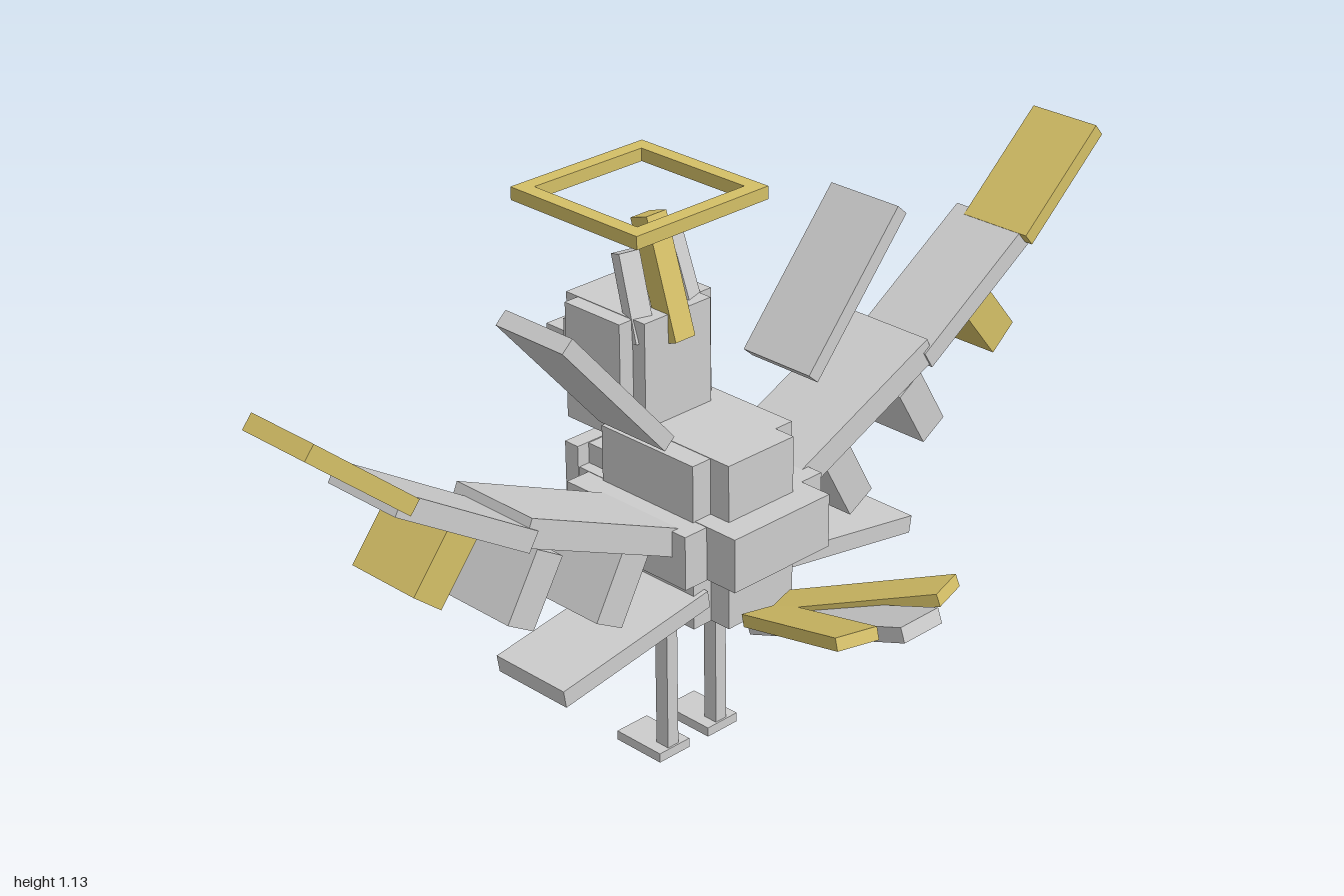
import * as THREE from 'three';

export function createModel() {
  const model = new THREE.Group();
  const grey = new THREE.MeshStandardMaterial({ color: 0xcccccc });
  grey.name = 'pale grey';
  const gold = new THREE.MeshStandardMaterial({ color: 0xd4bf66 });
  gold.name = 'soft gold';

  // Box given by its size and centre, turned by yaw after pitch and roll
  function block(name, mat, [w, h, d], [x, y, z], rx = 0, ry = 0, rz = 0) {
    const mesh = new THREE.Mesh(new THREE.BoxGeometry(w, h, d), mat);
    mesh.name = name;
    mesh.position.set(x, y, z);
    mesh.rotation.set(rx, ry, rz, 'YXZ');
    model.add(mesh);
    return mesh;
  }

  // Box given by half width and its y and z limits, centred on x
  const slab = (name, half, y0, y1, z0, z1) =>
    block(name, grey, [half * 2, y1 - y0, z1 - z0], [0, (y0 + y1) / 2, (z0 + z1) / 2]);

  // Flat plank running between two points in the xy plane
  function plank(name, mat, side, [x0, y0], [x1, y1], thick, z0, z1) {
    const dx = (x1 - x0) * side, dy = y1 - y0;
    block(name, mat, [Math.hypot(dx, dy), thick, z1 - z0],
      [side * (x0 + x1) / 2, (y0 + y1) / 2, (z0 + z1) / 2], 0, 0, Math.atan2(dy, dx));
  }

  // Torso of crossed boxes, with a breast plate
  slab('torsoWide', 0.13, 0.36, 0.70, -0.22, 0.02);
  slab('torsoDeep', 0.085, 0.361, 0.701, -0.265, 0.067);
  slab('bellyWide', 0.18, 0.475, 0.585, -0.265, 0.05);
  slab('bellyDeep', 0.125, 0.476, 0.586, -0.324, 0.122);
  slab('breastPlate', 0.128, 0.388, 0.63, -0.325, -0.29);
  slab('breastCore', 0.1, 0.39, 0.628, -0.295, -0.25);

  // Head and beak
  slab('headWide', 0.118, 0.678, 0.913, -0.326, -0.18);
  slab('headDeep', 0.085, 0.679, 0.914, -0.358, -0.148);
  slab('upperBeak', 0.04, 0.747, 0.80, -0.467, -0.35);
  slab('lowerBeak', 0.03, 0.72, 0.747, -0.433, -0.35);

  // Crest and halo
  block('crestMiddle', gold, [0.05, 0.24, 0.045], [0, 0.97, -0.186], -0.31);
  const ring = new THREE.Shape();
  const square = (path, r) => path.moveTo(-r, -r).lineTo(r, -r).lineTo(r, r).lineTo(-r, r).closePath();
  square(ring, 0.166);
  const hole = new THREE.Path();
  square(hole, 0.135);
  ring.holes.push(hole);
  const halo = new THREE.Mesh(
    new THREE.ExtrudeGeometry(ring, { depth: 0.026, bevelEnabled: false }), gold);
  halo.name = 'halo';
  halo.rotation.x = -Math.PI / 2;
  halo.position.set(0, 1.105, -0.245);
  model.add(halo);

  // Tail
  block('tailMiddle', grey, [0.1, 0.03, 0.405], [0, 0.427, 0.273], -0.35);

  for (const s of [1, -1]) {
    const side = s > 0 ? 'left' : 'right';
    block(side + 'TailFeather', gold, [0.085, 0.025, 0.36], [s * 0.073, 0.44, 0.258], -0.35, s * 0.29);
    block(side + 'Crest', grey, [0.042, 0.17, 0.035], [s * 0.061, 0.945, -0.2], -0.31, s * 0.3, -s * 0.04);

    // Eyes
    block(side + 'Eye', grey, [0.035, 0.05, 0.03], [s * 0.055, 0.823, -0.367]);
    block(side + 'Pupil', grey, [0.015, 0.014, 0.012], [s * 0.055, 0.834, -0.382]);

    // Raised wing in three sections
    plank(side + 'WingInner', grey, s, [0.10, 0.527], [0.525, 0.715], 0.055, -0.182, 0.016);
    plank(side + 'WingMiddle', grey, s, [0.515, 0.695], [0.803, 0.876], 0.042, -0.155, 0.02);
    plank(side + 'WingTip', gold, s, [0.785, 0.872], [0.99, 1.047], 0.032, -0.122, 0.038);

    // Loose upper and lower plumes
    plank(side + 'UpperPlume', grey, s, [0.187, 0.767], [0.425, 1.037], 0.032, -0.15, 0.02);
    plank(side + 'LowerPlume', grey, s, [0.10, 0.417], [0.464, 0.358], 0.036, -0.15, 0.03);

    // Feathers hanging under the wing
    plank(side + 'HangingInner', grey, s, [0.265, 0.577], [0.336, 0.45], 0.07, -0.15, 0.012);
    plank(side + 'HangingMiddle', grey, s, [0.472, 0.655], [0.546, 0.532], 0.068, -0.15, 0.012);
    plank(side + 'HangingOuter', gold, s, [0.66, 0.775], [0.75, 0.665], 0.075, -0.15, 0.012);

    // Legs and feet
    block(side + 'Leg', grey, [0.028, 0.36, 0.032], [s * 0.066, 0.19, -0.121]);
    block(side + 'Foot', grey, [0.08, 0.02, 0.12], [s * 0.066, 0.01, -0.161]);
  }
  return model;
}
